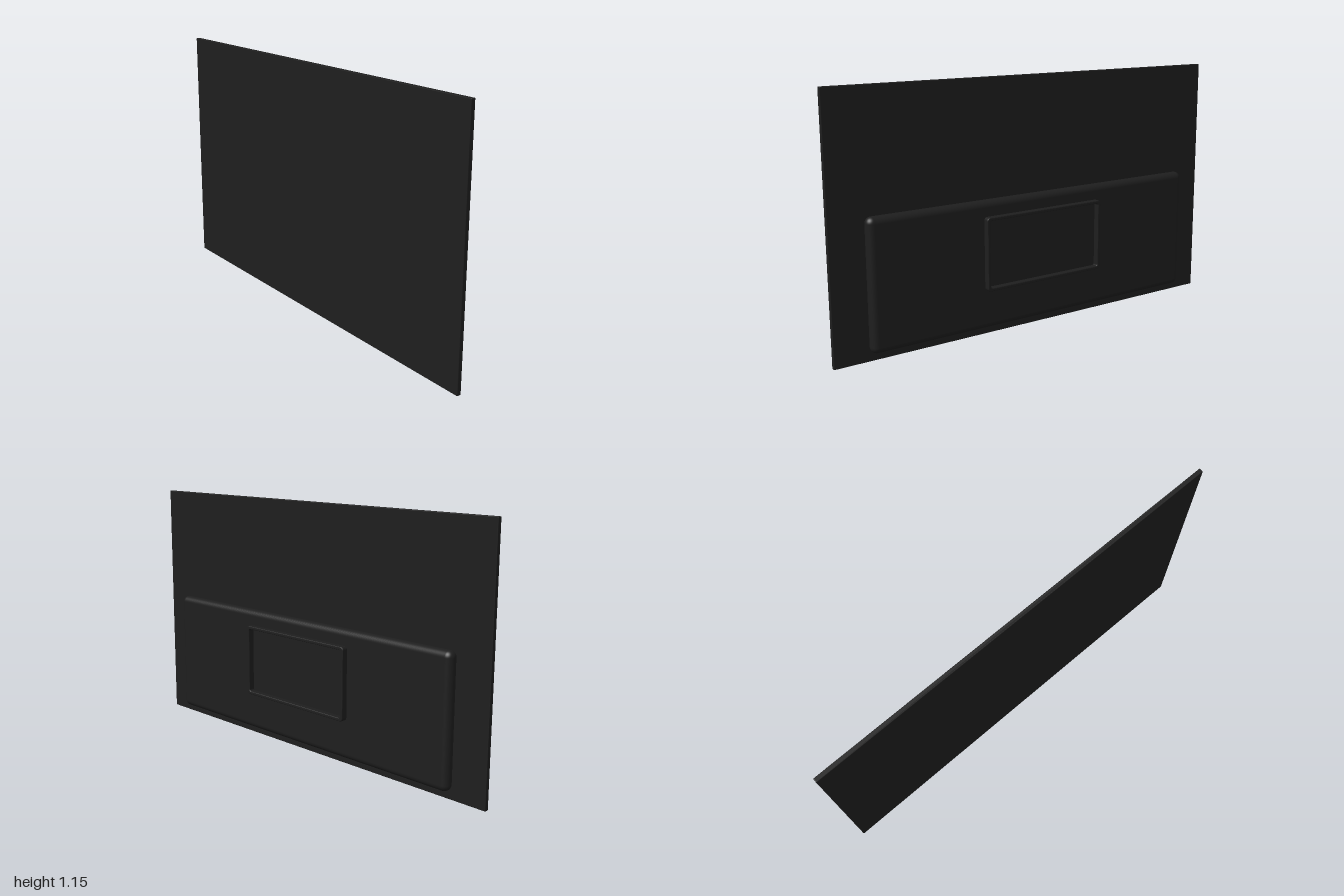
import * as THREE from 'three';
import { RoundedBoxGeometry } from 'three/addons/geometries/RoundedBoxGeometry.js';

// Traces a rounded rectangle, centred on the origin, onto a shape or path
function roundedRect(path, w, h, r) {
  const x = w / 2, y = h / 2;
  path.moveTo(-x + r, -y);
  path.lineTo(x - r, -y);
  path.absarc(x - r, -y + r, r, -Math.PI / 2, 0);
  path.lineTo(x, y - r);
  path.absarc(x - r, y - r, r, 0, Math.PI / 2);
  path.lineTo(-x + r, y);
  path.absarc(-x + r, y - r, r, Math.PI / 2, Math.PI);
  path.lineTo(-x, -y + r);
  path.absarc(-x + r, -y + r, r, Math.PI, Math.PI * 1.5);
  return path;
}

export function createModel() {
  const group = new THREE.Group();
  const black = new THREE.MeshStandardMaterial({ color: 0x1e1e1e });
  black.name = 'black plastic';

  const add = (name, geometry, y, z) => {
    const mesh = new THREE.Mesh(geometry, black);
    mesh.name = name;
    mesh.position.set(0, y, z);
    group.add(mesh);
  };

  // Thin flat screen
  add('screenPanel', new RoundedBoxGeometry(2, 1.15, 0.02, 2, 0.003), 0.575, 0.043);

  // Low, soft-edged housing on the back
  add('rearHousing', new RoundedBoxGeometry(1.7, 0.58, 0.058, 6, 0.028), 0.335, 0.004);

  // Raised rim around the recessed mounting area
  const bevel = 0.004, depth = 0.03;
  const rim = roundedRect(new THREE.Shape(), 0.62, 0.332, 0.015);
  rim.holes.push(roundedRect(new THREE.Path(), 0.59, 0.302, 0.008));
  const rimGeometry = new THREE.ExtrudeGeometry(rim, {
    depth: depth - 2 * bevel, bevelEnabled: true, bevelThickness: bevel,
    bevelSize: bevel, bevelOffset: -bevel, bevelSegments: 3, curveSegments: 6,
  });
  add('mountRim', rimGeometry, 0.39, -0.053 + bevel);

  return group;
}
